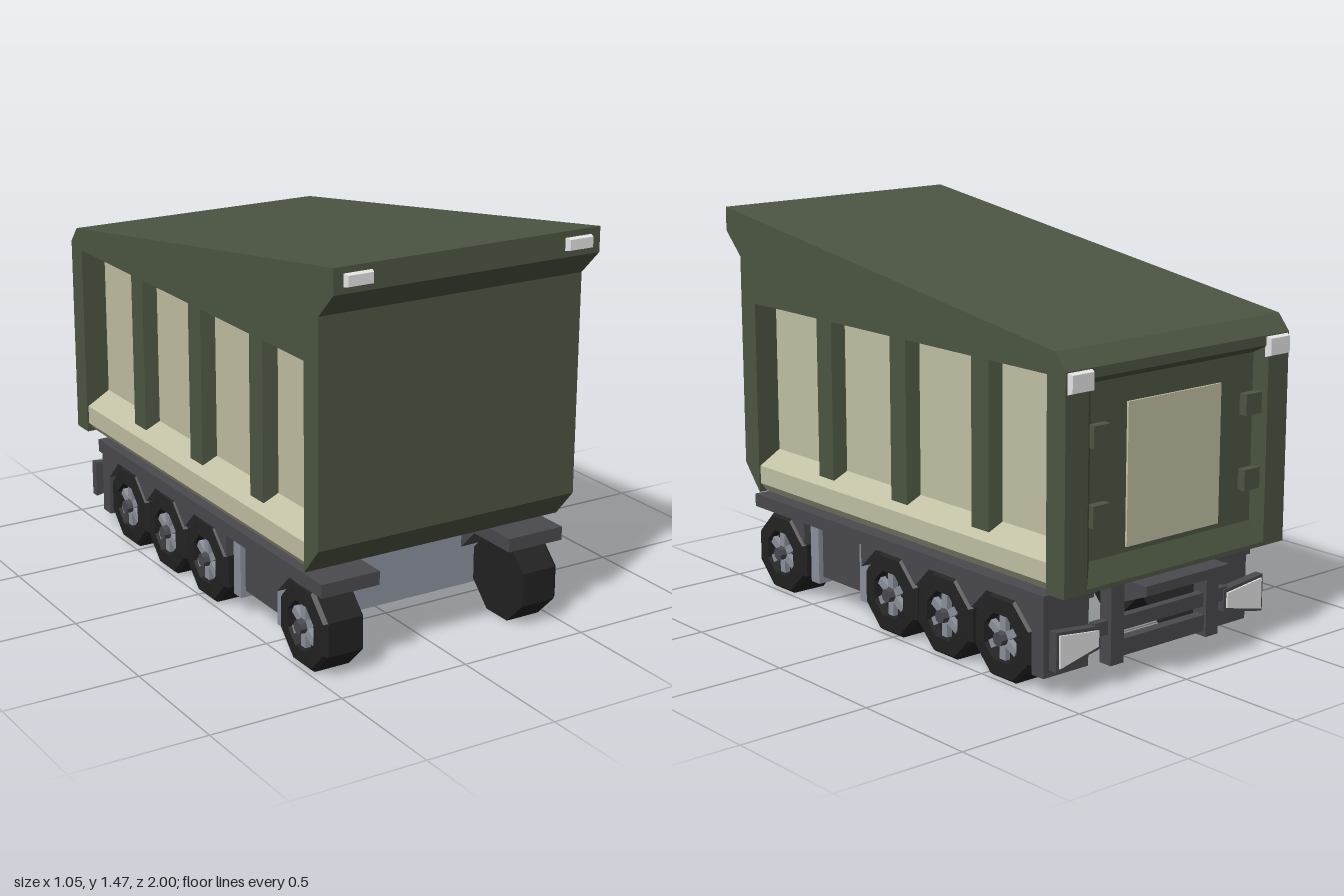
import * as THREE from 'three';

const mat = (name, color) => {
  const m = new THREE.MeshStandardMaterial({ color });
  m.name = name;
  return m;
};

export function createModel() {
  const model = new THREE.Group();
  model.name = 'containerTrailer';
  const green = mat('olive green', 0x4c5642);
  const beige = mat('beige', 0xc2c0a4);
  const dark = mat('dark grey', 0x4a494e);
  const rubber = mat('rubber black', 0x222222);
  const steel = mat('steel grey', 0x8c919c);
  const light = mat('lamp white', 0xe4e4e4);

  const add = (name, geo, material, parent = model) => {
    const mesh = new THREE.Mesh(geo, material);
    mesh.name = name;
    parent.add(mesh);
    return mesh;
  };
  const extrude = (pts, depth) => new THREE.ExtrudeGeometry(
    new THREE.Shape(pts.map(p => new THREE.Vector2(...p))), { depth, bevelEnabled: false });
  // (z, y) outline swept from x0 to x1
  const sideways = (pts, x0, x1) => extrude(pts, x1 - x0).rotateY(-Math.PI / 2).translate(x1, 0, 0);
  // same sweep, mirrored to side s
  const onSide = (pts, s, x0, x1) => s > 0 ? sideways(pts, x0, x1) : sideways(pts, -x1, -x0);
  // (x, y) outline swept from z0 to z1
  const lengthways = (pts, z0, z1) => extrude(pts, z1 - z0).translate(0, 0, z0);
  // (x, z) outline swept from y0 to y1
  const upright = (pts, y0, y1) => extrude(pts, y1 - y0).rotateX(Math.PI / 2).translate(0, y1, 0);
  // box given by its limits
  const box = (x0, x1, y0, y1, z0, z1) => new THREE.BoxGeometry(x1 - x0, y1 - y0, z1 - z0)
    .translate((x0 + x1) / 2, (y0 + y1) / 2, (z0 + z1) / 2);

  // Body: hollow and open below, with a thick frame on each side around a recessed wall
  const W = 0.526, IN = 0.425, BACK = -0.915, ROOF_BACK = 1.205;
  const nose = [[0.8, 0.385], [0.89, 0.49], [0.89, 1.295], [0.98, 1.385], [0.98, 1.475]];
  add('frontWallAndRoof', sideways([...nose, [-0.9, ROOF_BACK], [-0.9, 1.18],
    [0.87, 1.435], [0.87, 0.49], [0.785, 0.385]], -IN, IN), green);
  add('rearWall', box(-IN, IN, 0.385, 1.18, BACK, BACK + 0.015), green);
  add('rearHeader', sideways([[-0.9, ROOF_BACK], [-0.95, 1.145],
    [-0.95, 1.11], [BACK, 1.085], [-0.9, 1.085]], -IN, IN), green);
  add('rearSill', sideways([[BACK, 0.385], [-0.95, 0.385], [-0.95, 0.4], [BACK, 0.48]], -IN, IN), green);
  add('rearDoorPanel', box(-0.22, 0.22, 0.5, 1.0, BACK - 0.008, BACK), beige);

  for (const s of [1, -1]) {
    add('sideFrame', onSide([...nose, [-0.9, ROOF_BACK], [-0.95, 1.145], [-0.95, 0.385],
      [-0.86, 0.385], [-0.86, 1.125], [0.8, 1.125]], s, IN, W), green);
    add('sidePanel', onSide([[0.8, 0.4], [0.8, 1.125], [-0.86, 1.125], [-0.86, 0.4]], s, IN - 0.002, IN + 0.005), beige);
    // sloped lip under the top edge of the recess
    add('recessLip', lengthways([[s * IN, 1.125], [s * 0.52, 1.125], [s * IN, 1.105]], -0.86, 0.8), green);
    add('sideSill', lengthways([[IN, 0.545], [0.52, 0.49], [0.52, 0.42], [0.49, 0.385], [IN, 0.385]]
      .map(([x, y]) => [s * x, y]), -0.86, 0.8), beige);
    for (const z of [0.415, -0.025, -0.475]) {
      add('sidePost', upright([[s * IN, z - 0.056], [s * 0.485, z - 0.045],
        [s * 0.485, z + 0.045], [s * IN, z + 0.056]], 0.512, 1.115), green);
    }
    // tapered rear pillar and door hinges
    add('rearPillar', upright([[s * IN, -0.95], [s * 0.385, BACK], [s * IN, BACK]], 0.386, 1.14), green);
    for (const y of [0.64, 0.91]) {
      const x = s * 0.36;
      add('hinge', box(x - 0.038, x + 0.038, y - 0.038, y + 0.038, -0.948, BACK), green);
    }
  }

  // Marker lamps with a narrower outer face
  const lamp = (x, y, z, h, dir) => {
    const g = new THREE.BoxGeometry(0.11, h, 0.022);
    const p = g.attributes.position;
    for (let i = 0; i < p.count; i++) {
      if (p.getZ(i) * dir > 0) p.setXY(i, p.getX(i) * 0.86, p.getY(i) * 0.8);
    }
    g.computeVertexNormals();
    add('markerLamp', g, light).position.set(x, y, z);
  };
  for (const s of [1, -1]) {
    lamp(s * 0.435, 1.43, 0.989, 0.046, 1);
    lamp(s * 0.465, 1.105, -0.957, 0.075, -1);
  }

  // Chassis: cross plates and, per side, a box and a rail with arches cut round the wheels
  const axles = [0.72, 0.035, -0.275, -0.59];
  for (const z of [0.535, 0.225]) {
    add('crossPlate', box(-0.46, 0.46, 0.07, 0.33, z - 0.025, z + 0.025), steel);
  }
  const arches = [
    [[0.65, 0.31], [0.56, 0.22], [0.56, 0.31]],
    [[0.2, 0.31], [0.2, 0.22], [0.105, 0.31]],
    [[-0.035, 0.31], [-0.12, 0.225], [-0.205, 0.31]],
    [[-0.345, 0.31], [-0.432, 0.223], [-0.52, 0.31]],
    [[-0.66, 0.31], [-0.75, 0.22], [-0.75, 0.065], [-0.81, 0.065], [-0.81, 0.31]],
  ];
  for (const s of [1, -1]) {
    add('sideRail', onSide([[0.87, 0.31], [0.87, 0.36], [-0.82, 0.36], [-0.82, 0.31]], s, 0.27, 0.5), dark);
    add('sideBox', onSide([[0.51, 0.095], [0.51, 0.325], [0.25, 0.325], [0.25, 0.095]], s, 0.36, 0.44), dark);
    for (const a of arches) add('wheelArch', onSide(a, s, 0.285, 0.49), dark);
  }

  // Rear bumper: posts, bars, lamp wedges and shelf
  add('rearShelf', sideways([[-0.845, 0.375], [-1, 0.375], [-1, 0.34], [-0.89, 0.295], [-0.845, 0.295]], -0.2, 0.2), dark);
  add('upperBar', box(-0.32, 0.32, 0.19, 0.24, -0.88, -0.85), dark);
  add('lowerBar', box(-0.22, 0.22, 0.1, 0.16, -0.885, -0.845), dark);
  for (const s of [1, -1]) {
    add('bumperPost', onSide([[-0.84, 0.08], [-0.84, 0.384], [-0.895, 0.384], [-0.895, 0.08]], s, 0.2, 0.26), dark);
    const wedge = k => [[0.3 + k, 0.15 + k], [0.3 + k, 0.23 - k], [0.5 - k, 0.25 - k], [0.5 - k, 0.11 + k]]
      .map(([x, y]) => [s * x, y]);
    add('tailLampHousing', lengthways(wedge(0), -0.885, -0.85), dark);
    add('tailLamp', lengthways(wedge(0.012), -0.892, -0.885), light);
  }

  // Wheels: eight-sided tyre, recessed rim with spokes and a hub
  const flat = g => {
    const n = g.toNonIndexed();
    n.computeVertexNormals();
    return n;
  };
  const tyreGeo = flat(new THREE.LatheGeometry(
    [[0, 0], [0.162, 0], [0.162, 0.138], [0.15, 0.152], [0.092, 0.157], [0.086, 0.125], [0, 0.125]]
      .map(p => new THREE.Vector2(...p)), 8, Math.PI / 8)).rotateZ(-Math.PI / 2);
  const hubGeo = flat(new THREE.CylinderGeometry(0.025, 0.03, 0.05, 8)).rotateZ(-Math.PI / 2);
  const spokeGeo = new THREE.BoxGeometry(0.022, 0.052, 0.03).translate(0.136, 0.052, 0);
  for (const s of [1, -1]) {
    for (const z of axles) {
      const wheel = new THREE.Group();
      wheel.name = 'wheel';
      wheel.position.set(s * 0.335, 0.15, z);
      if (s < 0) wheel.rotation.y = Math.PI;
      add('tyre', tyreGeo, rubber, wheel);
      add('hub', hubGeo, dark, wheel).position.x = 0.145;
      for (let i = 0; i < 6; i++) add('spoke', spokeGeo, steel, wheel).rotation.x = i * Math.PI / 3;
      model.add(wheel);
    }
  }
  return model;
}
